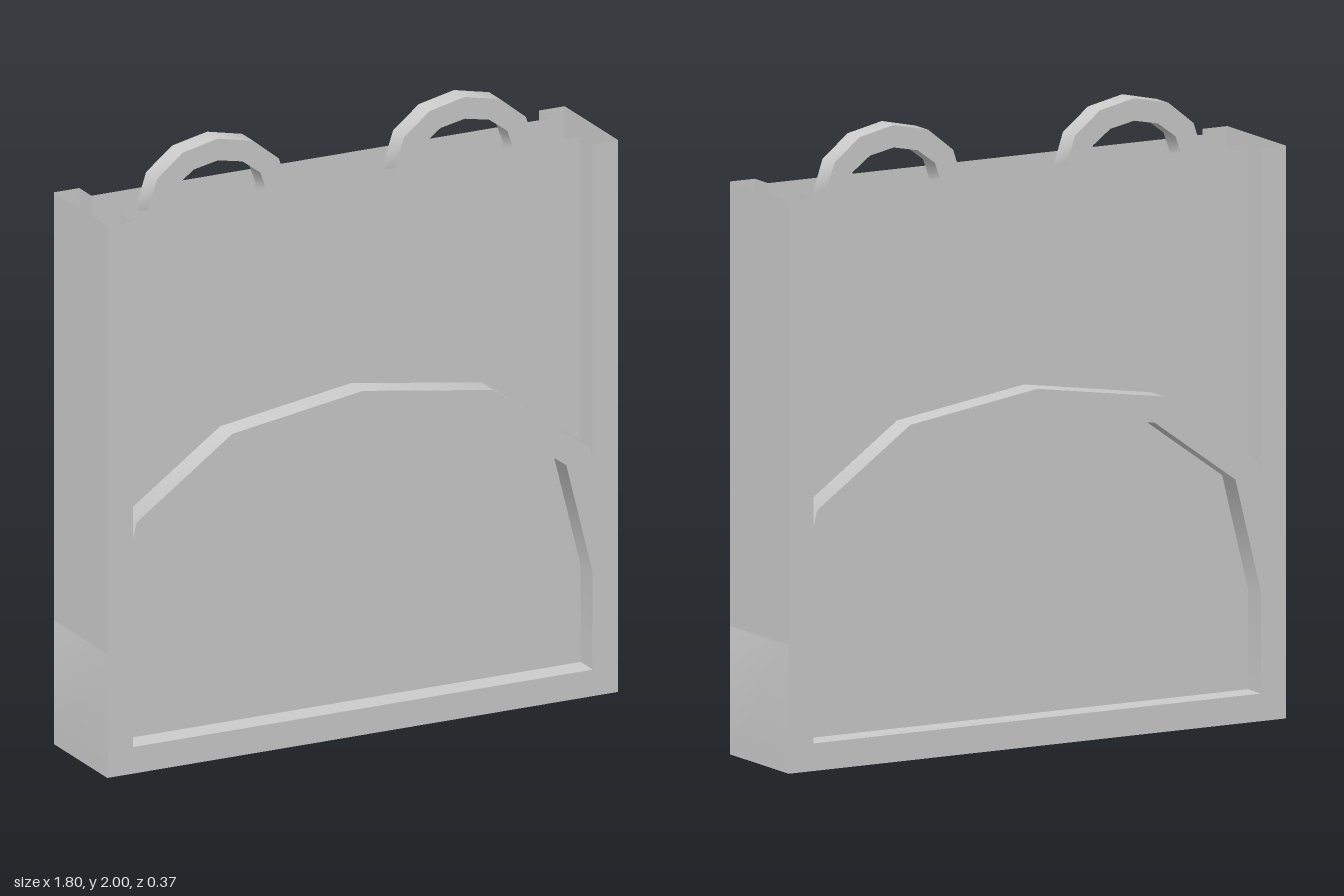
import * as THREE from 'three';
import { toCreasedNormals } from 'three/addons/utils/BufferGeometryUtils.js';

const material = new THREE.MeshStandardMaterial({ color: 0xcccccc, side: THREE.DoubleSide });

const HALF_DEPTH = 0.183, PANEL_Z = 0.1, OUT_X = 0.9, IN_X = 0.81, TOP = 1.828;

function addMesh(parent, name, geometry) {
  const mesh = new THREE.Mesh(geometry, material);
  mesh.name = name;
  parent.add(mesh);
  return mesh;
}

// Symmetric outline from its right half, listed bottom to crown
function mirrored(half) {
  const left = half.slice(0, -1).reverse().map(([x, y]) => [-x, y]);
  return [...half, ...left].map(([x, y]) => new THREE.Vector2(x, y));
}

// Outline with a hole, extruded and centred on z = 0
function extrudeCentred(outer, inner, depth) {
  const shape = new THREE.Shape(outer);
  shape.holes.push(new THREE.Path(inner));
  const geo = new THREE.ExtrudeGeometry(shape, { depth, bevelEnabled: false });
  geo.translate(0, 0, -depth / 2);
  return toCreasedNormals(geo, 0.75);
}

function ellipse(a, b, sides) {
  return Array.from({ length: sides }, (_, i) => {
    const t = (i / sides) * Math.PI * 2;
    return new THREE.Vector2(a * Math.cos(t), b * Math.sin(t));
  });
}

// Vertical sheets standing on a closed plan of [x, z] points
function wallGeometry(plan) {
  const pos = [];
  const bottom = ([, z]) => (Math.abs(z) > PANEL_Z ? 0.41 : 0.05);
  plan.forEach((p, i) => {
    const q = plan[(i + 1) % plan.length];
    const a = [p[0], bottom(p), p[1]], b = [q[0], bottom(q), q[1]];
    const c = [q[0], TOP, q[1]], d = [p[0], TOP, p[1]];
    pos.push(...a, ...b, ...c, ...a, ...c, ...d);
  });
  const geo = new THREE.BufferGeometry();
  geo.setAttribute('position', new THREE.Float32BufferAttribute(pos, 3));
  geo.computeVertexNormals();
  return geo;
}

export function createModel() {
  const model = new THREE.Group();
  model.name = 'pouch';

  // Arched lower frame, running through the full depth
  const outer = mirrored([[OUT_X, 0], [OUT_X, 0.41], [0.797, 0.83], [0.46, 1.07], [0, 1.14]]);
  const inner = mirrored([[IN_X, 0.088], [IN_X, 0.41], [0.717, 0.78], [0.425, 0.99], [0, 1.055]]);
  addMesh(model, 'archedFrame', extrudeCentred(outer, inner, HALF_DEPTH * 2));

  // Recessed panels and side posts, hollow and open at the top
  const half = [
    [IN_X, PANEL_Z], [IN_X, HALF_DEPTH], [OUT_X, HALF_DEPTH],
    [OUT_X, -HALF_DEPTH], [IN_X, -HALF_DEPTH], [IN_X, -PANEL_Z],
  ];
  const plan = [...half, ...half.map(([x, z]) => [-x, -z])];
  addMesh(model, 'panelsAndSidePosts', wallGeometry(plan));

  // Two strap loops rising out of the open top
  const loop = extrudeCentred(ellipse(0.248, 0.2, 12), ellipse(0.172, 0.128, 12), 0.075);
  for (const [name, side] of [['leftLoop', 1], ['rightLoop', -1]]) {
    addMesh(model, name, loop).position.set(side * 0.435, 1.8, 0);
  }

  return model;
}
